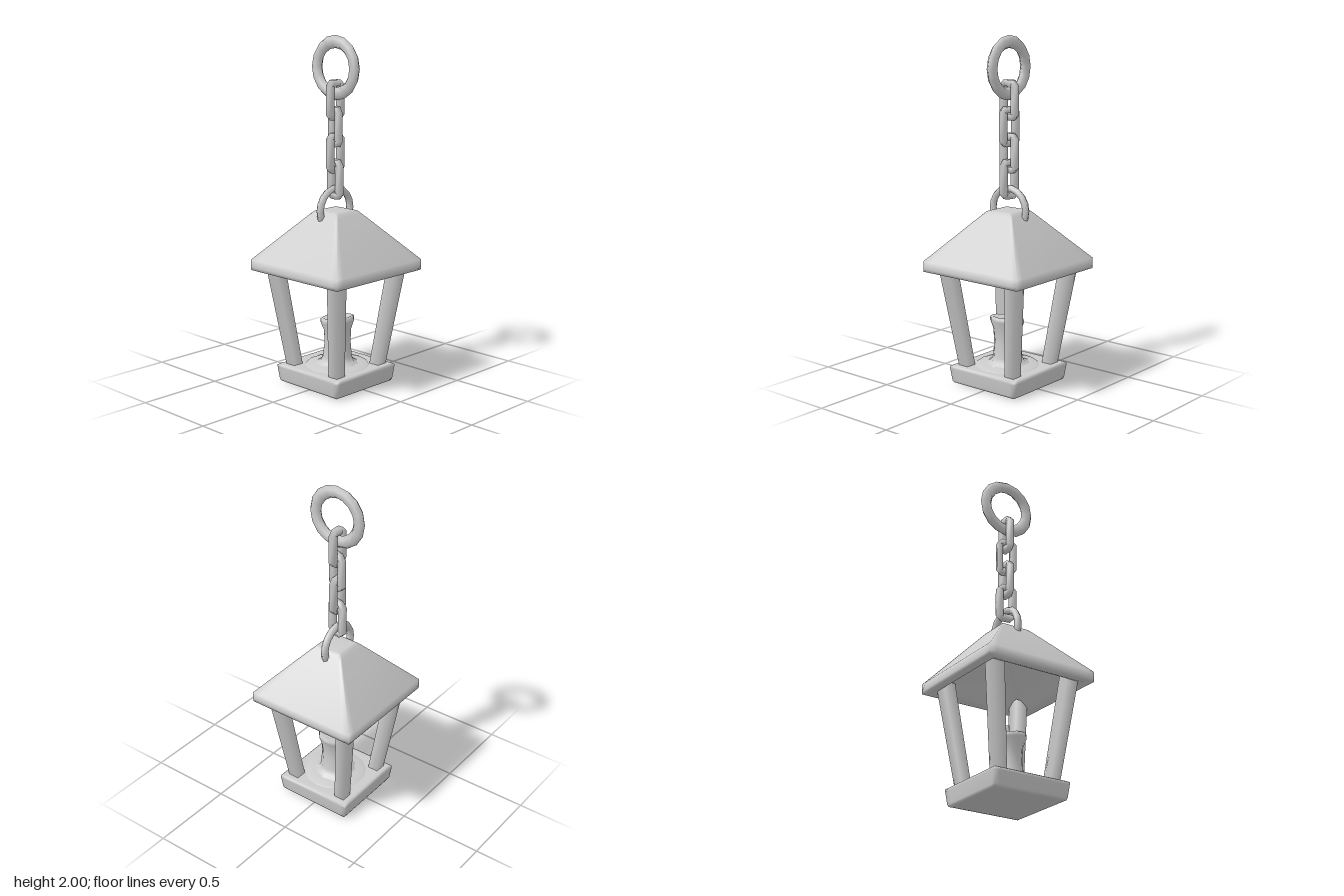
import * as THREE from 'three';
import { mergeVertices } from 'three/addons/utils/BufferGeometryUtils.js';

const material = new THREE.MeshStandardMaterial({ color: 0xcccccc });

function part(name, geometry, parent) {
  const mesh = new THREE.Mesh(geometry, material);
  mesh.name = name;
  parent.add(mesh);
  return mesh;
}

// Smooth skin over closed cross-sections: sections[i][j] = [x, y, z]
function skin(sections, loop) {
  const n = sections[0].length, index = [];
  const rows = loop ? sections.length : sections.length - 1;
  for (let i = 0; i < rows; i++) for (let j = 0; j < n; j++) {
    const m = (i + 1) % sections.length, k = (j + 1) % n;
    const a = i * n + j, b = i * n + k, c = m * n + k, d = m * n + j;
    index.push(a, b, c, a, c, d);
  }
  const g = new THREE.BufferGeometry();
  g.setAttribute('position', new THREE.Float32BufferAttribute(sections.flat(2), 3));
  g.setIndex(index);
  g.computeVertexNormals();
  return g;
}

// Square rings [halfWidth, y] from the underside outwards and up; extra points beside the corners keep the sides flat
function squareLoft(rings) {
  const s = 0.86;
  const outline = [[1, s], [1, -s], [1, -1], [s, -1], [-s, -1], [-1, -1], [-1, -s], [-1, s], [-1, 1], [-s, 1], [s, 1], [1, 1]];
  return skin(rings.map(([h, y]) => outline.map(([x, z]) => [x * h, y, z * h])), false);
}

// Chain link: four-sided bar swept round a rectangle with cut corners
function linkGeometry() {
  const w = 0.04, h = 0.095, c = 0.014;
  const path = [[w, c - h], [w, h - c], [w - c, h], [c - w, h], [-w, h - c], [-w, c - h], [c - w, -h], [w - c, -h]];
  const bar = [[1, -1], [-1, -1], [-1, 1], [1, 1]];
  const n = path.length;
  return skin(path.map(([x, y], i) => {
    const p = path[(i + n - 1) % n], q = path[(i + 1) % n];
    const out = new THREE.Vector2(q[1] - p[1], p[0] - q[0]).normalize().multiplyScalar(0.018);
    return bar.map(([u, v]) => [x + out.x * u, y + out.y * u, 0.016 * v]);
  }), true);
}

function lathe(points, sides) {
  const g = new THREE.LatheGeometry(points.map(([x, y]) => new THREE.Vector2(x, y)), sides);
  g.deleteAttribute('uv');
  g.deleteAttribute('normal');
  const merged = mergeVertices(g);
  merged.computeVertexNormals();
  return merged;
}

export function createModel() {
  const model = new THREE.Group();
  model.name = 'hangingLantern';
  const chainX = -0.004;

  // Base and roof
  part('base', squareLoft([[0, 0], [0.21, 0], [0.225, 0.003], [0.231, 0.016], [0.24, 0.088], [0.24, 0.102],
    [0.228, 0.109], [0.2, 0.108], [0, 0.108]]), model);
  part('roof', squareLoft([[0, 0.86], [0.06, 0.86], [0.26, 0.7], [0.285, 0.675], [0.31, 0.667], [0.343, 0.667], [0.344, 0.685],
    [0.344, 0.728], [0.105, 0.993], [0.086, 1.013], [0.07, 1.018], [0, 1.018]]), model);

  // Leaning square corner posts
  const up = new THREE.Vector3(0, 1, 0);
  for (const sx of [-1, 1]) for (const sz of [-1, 1]) {
    const foot = new THREE.Vector3(sx * 0.167, 0.08, sz * 0.167);
    const head = new THREE.Vector3(sx * 0.247, 0.71, sz * 0.247);
    const dir = head.clone().sub(foot);
    const geometry = new THREE.CylinderGeometry(0.054, 0.046, dir.length(), 4).rotateY(Math.PI / 4);
    const post = part('post', geometry, model);
    post.position.copy(foot).add(head).multiplyScalar(0.5);
    post.quaternion.setFromUnitVectors(up, dir.normalize());
  }

  // Candle with a melted, uneven rim
  const candle = new THREE.Group();
  candle.name = 'candle';
  candle.position.x = 0.01;
  model.add(candle);
  const wax = lathe([[0.135, 0.106], [0.13, 0.118], [0.098, 0.132], [0.085, 0.16], [0.077, 0.25], [0.081, 0.32],
    [0.099, 0.365], [0.098, 0.384], [0.085, 0.393], [0.06, 0.38], [0, 0.378]], 12);
  const p = wax.attributes.position;
  for (let i = 0; i < p.count; i++) {
    const x = p.getX(i), y = p.getY(i), z = p.getZ(i);
    const a = Math.atan2(z, x), melt = THREE.MathUtils.smoothstep(y, 0.28, 0.38);
    const bulge = 1 + 0.03 * Math.sin(3 * a + y * 14);
    p.setXYZ(i, x * bulge, y + melt * (0.11 * x + 0.04 * z * Math.sin(2 * a)), z * bulge);
  }
  wax.computeVertexNormals();
  part('wax', wax, candle);

  // Wax pool spread over the base
  part('waxPool', lathe([[0.19, 0.104], [0.18, 0.113], [0.14, 0.118], [0.1, 0.126], [0, 0.126]], 14), candle);

  // Wick
  const wick = part('wick', new THREE.CylinderGeometry(0.009, 0.01, 0.075, 6), candle);
  wick.position.set(-0.003, 0.408, 0);
  wick.rotation.set(0.08, 0, 0.08);

  // Ring through the roof cap
  const lower = part('roofRing', new THREE.TorusGeometry(0.12, 0.021, 6, 18), model);
  lower.position.set(chainX - 0.003, 1.02, 0);
  lower.rotation.y = Math.PI / 2;

  // Chain of alternating links, bottom to top
  const chain = new THREE.Group();
  chain.name = 'chain';
  chain.position.x = chainX - 0.002;
  model.add(chain);
  const link = linkGeometry();
  [-0.18, Math.PI / 2, -0.33, Math.PI / 2].forEach((turn, i) => {
    const m = part('chainLink', link, chain);
    m.position.y = 1.193 + i * 0.149;
    m.rotation.y = turn;
  });

  // Hanging ring
  const ring = part('hangingRing', new THREE.TorusGeometry(0.145, 0.036, 6, 16), model);
  ring.position.set(chainX, 1.819, 0);
  ring.scale.z = 0.74;

  return model;
}
